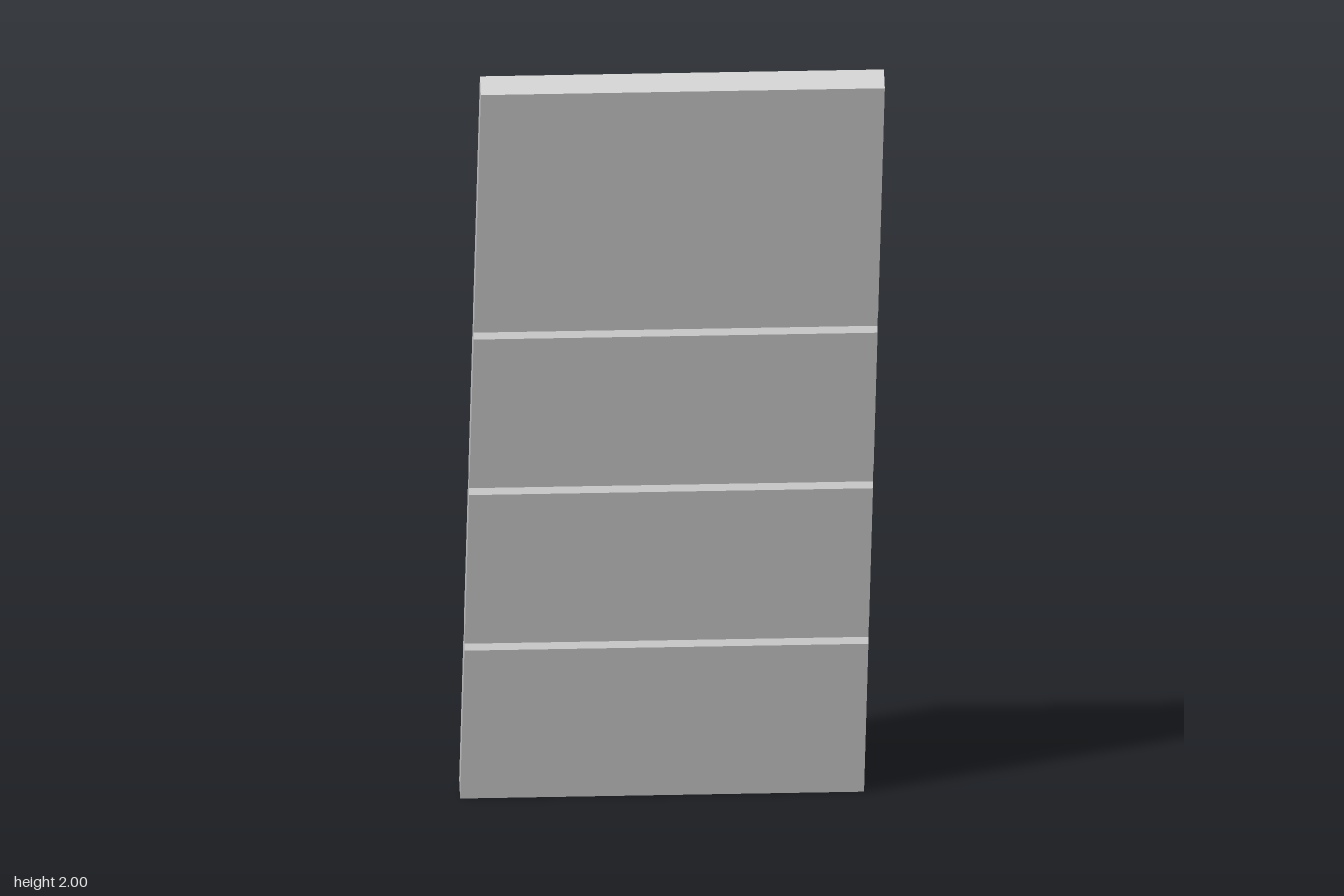
import * as THREE from 'three';

export function createModel() {
  const group = new THREE.Group();
  const grey = new THREE.MeshStandardMaterial({ color: 0xcccccc });
  grey.name = 'light grey';

  const length = 2.207, thickness = 0.05, width = 0.82, depth = 0.01;
  const lean = Math.atan2(0.4436, 0.8962);
  const grooveTops = [0.517, 1.005, 1.493]; // distance along the board
  const grooveSpan = 0.053;

  // Side profile point: u runs up the board, v from front face to back face
  const at = (u, v) => new THREE.Vector2(
    0.467 - u * Math.sin(lean) + v * Math.cos(lean),
    u * Math.cos(lean) + v * Math.sin(lean));

  // Bevelled groove, listed from its lower edge to its upper edge
  const groove = (top, face, inward, shift) => {
    const hi = top + shift, lo = hi - grooveSpan, floor = face + inward * depth;
    return [at(lo, face), at(lo + depth, floor), at(hi - depth, floor), at(hi, face)];
  };

  const front = grooveTops.flatMap(t => groove(t, 0, 1, 0));
  const back = grooveTops.flatMap(t => groove(t, thickness, -1, -0.01)).reverse();
  const profile = new THREE.Shape([
    at(0, 0), ...front, at(length, 0),
    at(length, thickness), ...back, at(0, thickness),
  ]);

  // Leaning board with three grooves across each face
  const geometry = new THREE.ExtrudeGeometry(profile, { depth: width, bevelEnabled: false });
  geometry.translate(0, 0, -width / 2);
  geometry.rotateY(Math.PI / 2);

  const board = new THREE.Mesh(geometry, grey);
  board.name = 'groovedBoard';
  group.add(board);
  return group;
}
